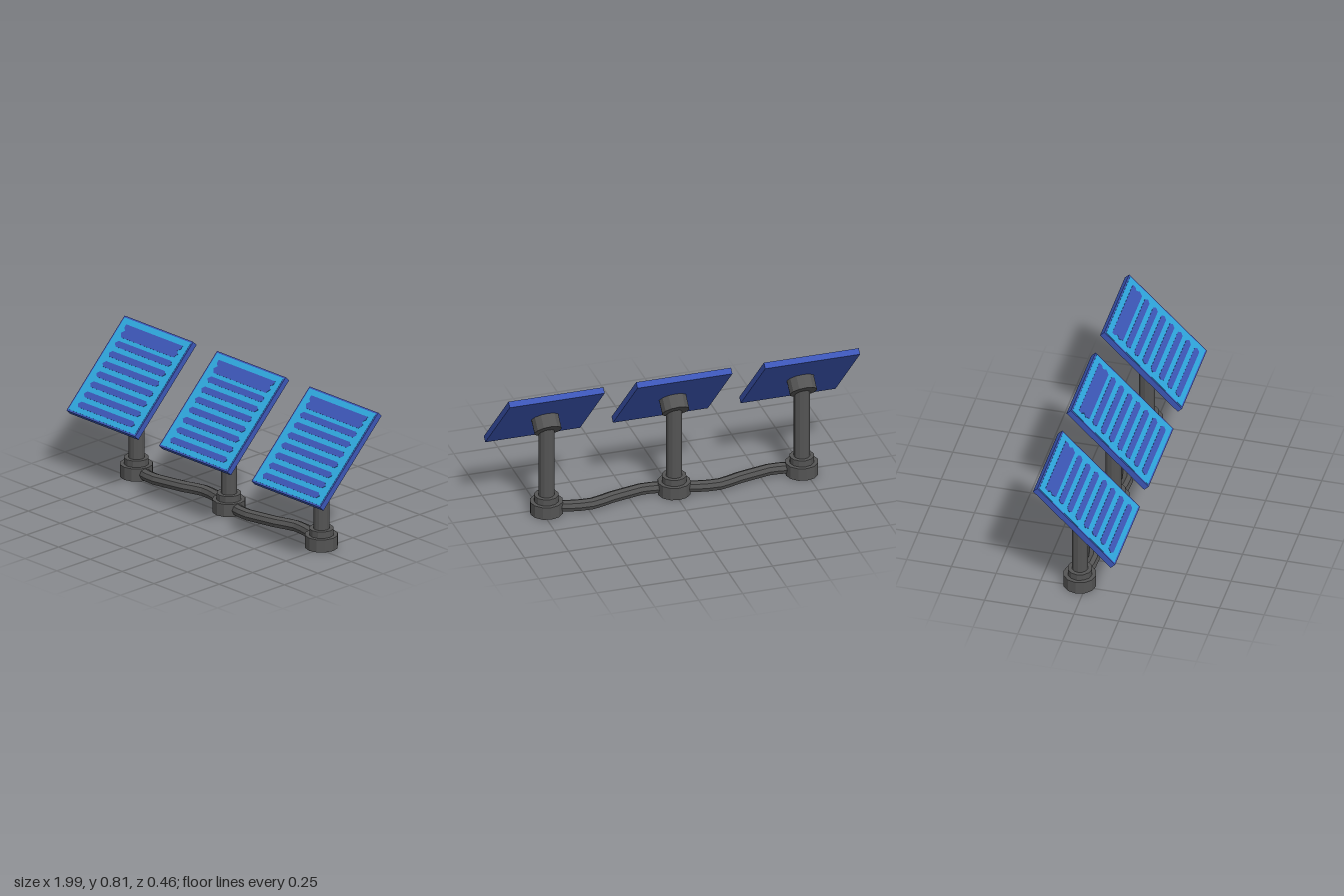
import * as THREE from 'three';

const metal = new THREE.MeshStandardMaterial({ name: 'dark grey metal', color: 0x545454, flatShading: true });
const frameBlue = new THREE.MeshStandardMaterial({ name: 'panel blue', color: 0x3c56b6 });
const cellBlue = new THREE.MeshStandardMaterial({ name: 'light cell blue', color: 0x2fa6dc });

const SPACING = 0.727;
const POST_Z = -0.037;

function add(parent, name, geometry, material, x = 0, y = 0, z = 0) {
  const mesh = new THREE.Mesh(geometry, material);
  mesh.name = name;
  mesh.position.set(x, y, z);
  parent.add(mesh);
  return mesh;
}

// Flat plate from a list of right-hand outline points, mirrored to the left
function mirroredPlate(points, depth) {
  const right = points.map(([x, y]) => new THREE.Vector2(x, y));
  const left = points.map(([x, y]) => new THREE.Vector2(-x, y)).reverse();
  const shape = new THREE.Shape([...right, ...left]);
  return new THREE.ExtrudeGeometry(shape, { depth, bevelEnabled: false });
}

// Panel in its own frame: face towards +z, centred on the slab
function createPanel() {
  const panel = new THREE.Group();
  panel.name = 'panel';
  add(panel, 'panelSlab', new THREE.BoxGeometry(0.54, 0.615, 0.035), frameBlue);
  add(panel, 'cellSheet', new THREE.BoxGeometry(0.522, 0.595, 0.002), cellBlue, 0, 0, 0.0178);

  // Seven stripes with pointed ends
  const stripe = mirroredPlate([[0.205, 0.018], [0.222, 0], [0.205, -0.018]], 0.0015);
  for (let i = 0; i < 7; i++) {
    add(panel, 'stripe', stripe, frameBlue, 0, 0.144 - i * 0.0655, 0.0186);
  }
  // Wide stripe with notched ends along the top
  const band = mirroredPlate(
    [[0.222, 0.264], [0.222, 0.243], [0.205, 0.228], [0.222, 0.21], [0.205, 0.185]].reverse(), 0.0015);
  add(panel, 'topBand', band, frameBlue, 0, 0, 0.0186);

  // Round mounting head behind the slab
  const head = add(panel, 'mountingHead', new THREE.CylinderGeometry(0.077, 0.077, 0.082, 12), metal, 0, 0, -0.053);
  head.rotation.x = Math.PI / 2;

  panel.rotation.x = -Math.PI / 4;
  panel.position.y = 0.58;
  return panel;
}

function createUnit(x) {
  const unit = new THREE.Group();
  unit.name = 'solarUnit';
  unit.position.x = x;
  add(unit, 'base', new THREE.CylinderGeometry(0.091, 0.091, 0.073, 12), metal, 0, 0.0365, POST_Z);
  add(unit, 'collar', new THREE.CylinderGeometry(0.068, 0.068, 0.05, 12), metal, 0, 0.085, POST_Z);
  add(unit, 'post', new THREE.CylinderGeometry(0.045, 0.045, 0.46, 12), metal, 0, 0.3, POST_Z);
  unit.add(createPanel());
  return unit;
}

// Winding cable pipe that joins one base to the next
function createPipe() {
  const path = new THREE.CatmullRomCurve3(
    [[0, -0.037], [0.16, -0.008], [0.27, -0.028], [0.37, -0.05], [0.48, -0.085], [0.59, -0.075], [SPACING, -0.037]]
      .map(([x, z]) => new THREE.Vector3(x, 0.037, z)));
  return new THREE.TubeGeometry(path, 12, 0.033, 8);
}

export function createModel() {
  const model = new THREE.Group();
  model.name = 'solarArray';
  for (const i of [-1, 0, 1]) model.add(createUnit(i * SPACING));
  const pipe = createPipe();
  for (const i of [-1, 0]) add(model, 'cablePipe', pipe, metal, i * SPACING);
  return model;
}
